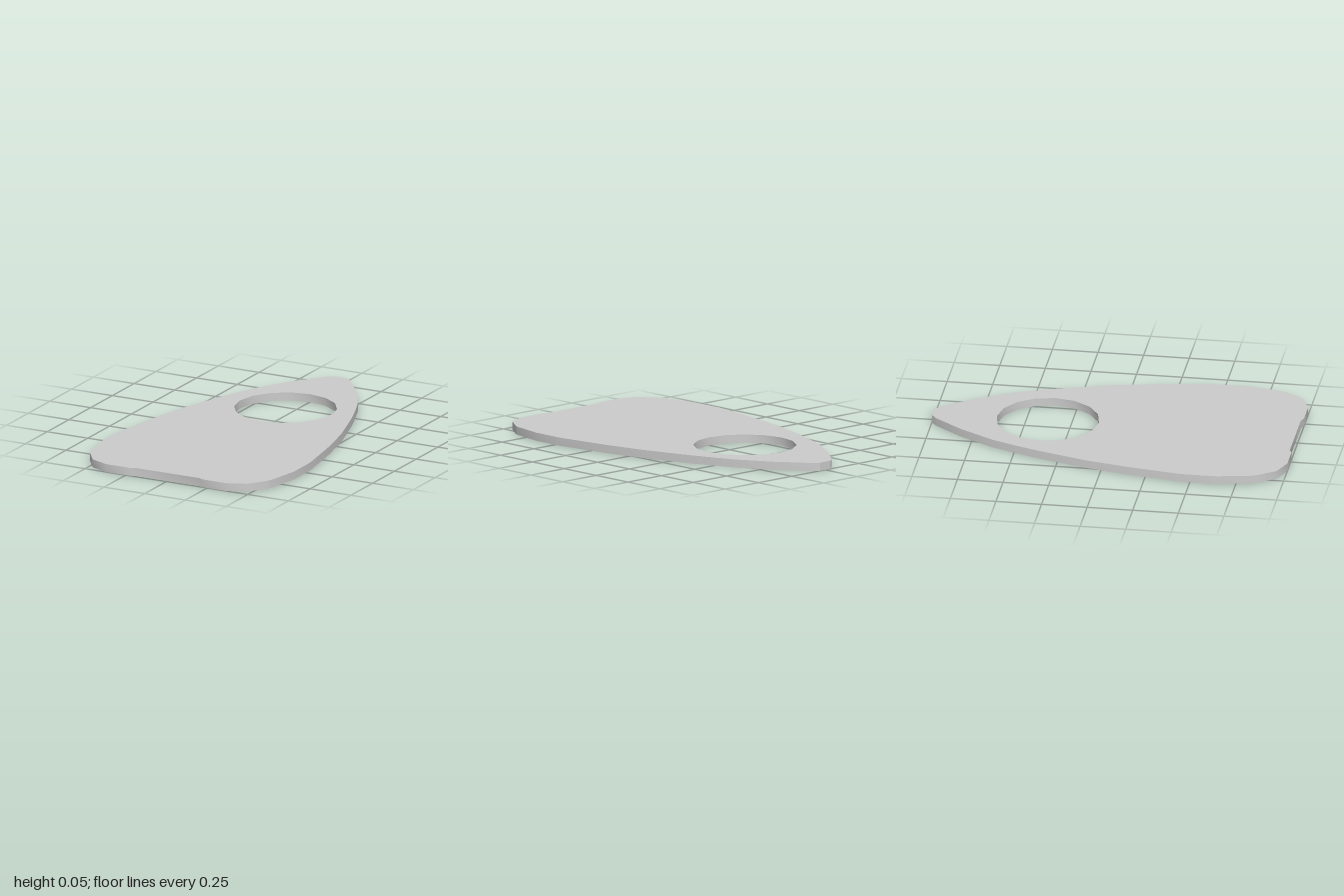
import * as THREE from 'three';
import { toCreasedNormals } from 'three/addons/utils/BufferGeometryUtils.js';

const THICKNESS = 0.045;
const HOLE = { z: -0.37, radius: 0.28, sides: 16 };

// Left half of the outline as [x, z], from the narrow back tip to the wide front
const HALF_OUTLINE = [
  [0.04, -1], [0.08, -0.967], [0.2, -0.81], [0.308, -0.624], [0.357, -0.505],
  [0.407, -0.37], [0.495, -0.085], [0.545, 0.153], [0.592, 0.455], [0.592, 0.645],
  [0.556, 0.83], [0.54, 0.865], [0.475, 0.957], [0.37, 1], [0.225, 1], [0.195, 0.987],
];

export function createModel() {
  const group = new THREE.Group();
  group.name = 'taperedTag';

  // Mirrored outline, drawn with z flipped so the extrusion can be laid flat
  const left = HALF_OUTLINE.map(([x, z]) => new THREE.Vector2(x, -z));
  const right = left.map((p) => new THREE.Vector2(-p.x, p.y)).reverse();
  const shape = new THREE.Shape([...left, ...right]);

  // Sixteen-sided hole near the tip
  const hole = [];
  for (let i = 0; i < HOLE.sides; i++) {
    const a = (i / HOLE.sides) * Math.PI * 2;
    hole.push(new THREE.Vector2(HOLE.radius * Math.cos(a), -HOLE.z + HOLE.radius * Math.sin(a)));
  }
  shape.holes.push(new THREE.Path(hole));

  // Flat plate with smooth rim and sharp top and bottom edges
  const geometry = new THREE.ExtrudeGeometry(shape, { depth: THICKNESS, bevelEnabled: false });
  geometry.rotateX(-Math.PI / 2);
  const plate = new THREE.Mesh(
    toCreasedNormals(geometry, 0.6),
    new THREE.MeshStandardMaterial({ color: 0xcccccc }),
  );
  plate.name = 'plate';
  group.add(plate);

  return group;
}
